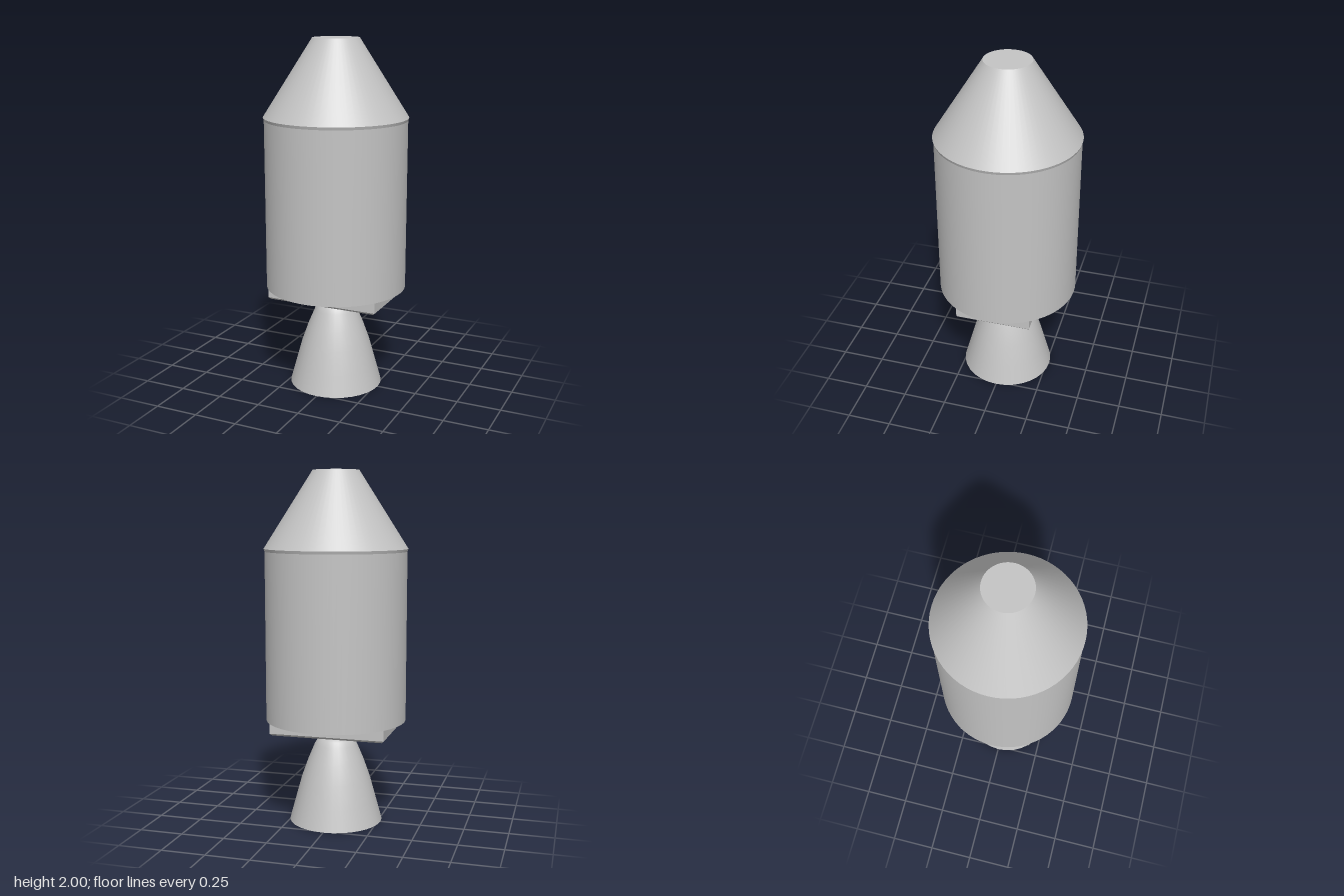
import * as THREE from 'three';

export function createModel() {
  const model = new THREE.Group();
  const grey = new THREE.MeshStandardMaterial({ color: 0xc4c4c4 });
  grey.name = 'grey';

  function add(name, geometry, y = 0) {
    const mesh = new THREE.Mesh(geometry, grey);
    mesh.name = name;
    mesh.position.y = y;
    model.add(mesh);
    return mesh;
  }
  // solid of revolution from [radius, y] pairs listed from bottom to top
  const lathe = (points, sides) =>
    new THREE.LatheGeometry(points.map(([r, y]) => new THREE.Vector2(r, y)), sides);
  // frustum between two heights
  const frustum = (name, rTop, rBottom, y0, y1, open = false) =>
    add(name, new THREE.CylinderGeometry(rTop, rBottom, y1 - y0, 64, 1, open), (y0 + y1) / 2);

  // hull: straight tank, small flared lip, truncated nose cone
  frustum('body', 0.4, 0.4, 0.595, 1.552);
  frustum('lip', 0.405, 0.4, 1.552, 1.568, true);
  frustum('noseCone', 0.13, 0.405, 1.568, 2);

  // rectangular engine mount with chamfered lower edges
  const w = 0.66, h = 0.08, d = 0.43, bevel = 0.012;
  const box = new THREE.BoxGeometry(w, h, d, 1, 2, 1);
  const p = box.attributes.position;
  for (let i = 0; i < p.count; i++) {
    if (Math.abs(p.getY(i)) < 1e-6) p.setY(i, -h / 2 + bevel);
    else if (p.getY(i) < 0) {
      p.setX(i, p.getX(i) - Math.sign(p.getX(i)) * bevel);
      p.setZ(i, p.getZ(i) - Math.sign(p.getZ(i)) * bevel);
    }
  }
  const mount = box.toNonIndexed();
  mount.computeVertexNormals();
  add('engineMount', mount, 0.52 + h / 2);

  // stepped collar between mount and nozzle
  add('collar', lathe([[0.07, 0.485], [0.075, 0.5], [0.092, 0.508], [0.097, 0.515], [0.097, 0.525]], 32));

  // bell nozzle with a closed shoulder and exit
  add('nozzleBell', lathe([
    [0.267, 0], [0.234, 0.12], [0.198, 0.25], [0.16, 0.357],
    [0.122, 0.447], [0.105, 0.475], [0.085, 0.494], [0.06, 0.496],
  ], 32));
  const exit = new THREE.CircleGeometry(0.267, 32);
  exit.rotateX(Math.PI / 2);
  add('nozzleExit', exit);

  return model;
}
